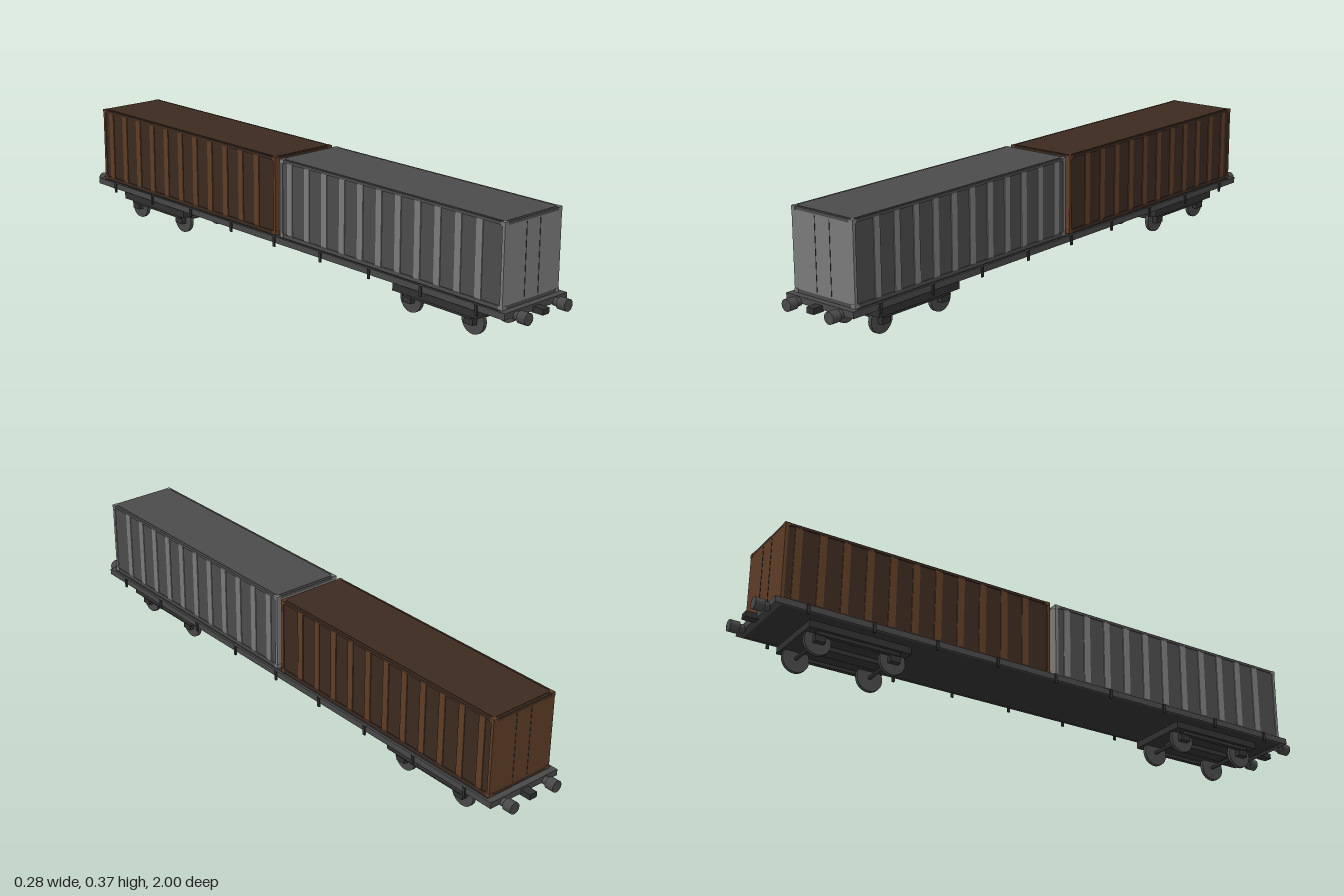
import * as THREE from 'three';

const mat = (name, color) => {
  const m = new THREE.MeshStandardMaterial({ color });
  m.name = name;
  return m;
};

export function createModel() {
  const model = new THREE.Group();
  model.name = 'containerWagon';
  const steel = mat('deck steel', 0x484848);
  const dark = mat('running gear', 0x303030);
  const greyLight = mat('light grey paint', 0x7a7a7a);
  const greyDark = mat('dark grey paint', 0x4b4b4b);
  const brownLight = mat('light brown paint', 0x5e3d26);
  const brownDark = mat('dark brown paint', 0x3b2a20);

  const box = (parent, name, material, size, pos) => {
    const mesh = new THREE.Mesh(new THREE.BoxGeometry(...size), material);
    mesh.name = name;
    mesh.position.set(...pos);
    parent.add(mesh);
    return mesh;
  };
  // Cylinder lying along 'x' or 'z'
  const rod = (parent, name, material, radius, length, axis, pos) => {
    const geo = new THREE.CylinderGeometry(radius, radius, length, 24);
    if (axis === 'x') geo.rotateZ(Math.PI / 2);
    else geo.rotateX(Math.PI / 2);
    const mesh = new THREE.Mesh(geo, material);
    mesh.name = name;
    mesh.position.set(...pos);
    parent.add(mesh);
    return mesh;
  };

  // Flat deck with edge sills, headstocks and stake brackets
  const deck = new THREE.Group();
  deck.name = 'deck';
  model.add(deck);
  box(deck, 'deckFloor', dark, [0.256, 0.016, 1.88], [0, 0.109, 0]);
  for (const s of [-1, 1]) {
    box(deck, 'sideSill', steel, [0.008, 0.02, 1.91], [s * 0.13, 0.11, 0]);
    box(deck, 'headstock', steel, [0.268, 0.02, 0.022], [0, 0.11, s * 0.944]);
    for (let i = -4; i <= 4; i++) {
      box(deck, 'stakeBracket', dark, [0.005, 0.032, 0.009], [s * 0.136, 0.104, i * 0.213]);
    }
    // Coupler and buffers
    box(deck, 'coupler', dark, [0.028, 0.018, 0.04], [0, 0.104, s * 0.97]);
    for (const x of [-0.085, 0.085]) {
      rod(deck, 'bufferStem', steel, 0.013, 0.035, 'z', [x, 0.104, s * 0.968]);
      rod(deck, 'bufferHead', steel, 0.0185, 0.03, 'z', [x, 0.104, s * 0.985]);
    }
  }

  // Two-axle bogie
  const addBogie = (z) => {
    const bogie = new THREE.Group();
    bogie.name = 'bogie';
    bogie.position.z = z;
    model.add(bogie);
    box(bogie, 'bogiePlate', dark, [0.22, 0.023, 0.334], [0, 0.0765, 0]);
    box(bogie, 'pivot', dark, [0.05, 0.016, 0.05], [0, 0.095, 0]);
    box(bogie, 'centreBeam', dark, [0.046, 0.015, 0.23], [0, 0.058, 0]);
    for (const s of [-1, 1]) {
      box(bogie, 'sideFrame', dark, [0.014, 0.012, 0.27], [s * 0.093, 0.06, 0]);
      const az = s * 0.1225;
      rod(bogie, 'axle', dark, 0.006, 0.18, 'x', [0, 0.044, az]);
      for (const t of [-1, 1]) {
        rod(bogie, 'wheel', steel, 0.043, 0.012, 'x', [t * 0.071, 0.043, az]);
        box(bogie, 'axleBox', dark, [0.018, 0.024, 0.034], [t * 0.087, 0.046, az]);
      }
    }
  };
  addBogie(0.667);
  addBogie(-0.667);

  // Ribbed container with framed ends
  const addContainer = (name, z, light, shade) => {
    const c = new THREE.Group();
    c.name = name;
    c.position.z = z;
    model.add(c);
    const L = 0.925, y0 = 0.119, y1 = 0.373, W = 0.242;
    const mid = (y0 + y1) / 2, H = y1 - y0;
    box(c, 'body', shade, [0.235, H - 0.003, L - 0.008], [0, mid, 0]);
    for (const s of [-1, 1]) {
      box(c, 'topSideRail', shade, [0.006, 0.009, L - 0.03], [s * 0.1175, y1 - 0.005, 0]);
      box(c, 'bottomSideRail', shade, [0.006, 0.012, L - 0.03], [s * 0.1175, y0 + 0.006, 0]);
      for (let i = 0; i < 11; i++) {
        box(c, 'sideRib', light, [0.004, H - 0.021, 0.024], [s * 0.118, mid + 0.001, -0.417 + i * 0.0786]);
      }
      // End wall, door seams and cross rails
      const e = s * L / 2;
      box(c, 'endDoors', light, [W - 0.004, H - 0.022, 0.006], [0, mid + 0.001, e - s * 0.004]);
      box(c, 'topEndRail', shade, [0.212, 0.01, 0.008], [0, y1 - 0.0055, e - s * 0.005]);
      box(c, 'bottomEndRail', shade, [0.212, 0.012, 0.008], [0, y0 + 0.006, e - s * 0.005]);
      for (const t of [-1, 1]) {
        box(c, 'lockRod', dark, [0.002, 0.222, 0.002], [t * 0.029, 0.248, e - s * 0.001]);
        box(c, 'cornerPost', light, [0.008, H - 0.026, 0.01], [t * 0.1165, mid, e - s * 0.006]);
        for (const y of [y0 + 0.0065, y1 - 0.0065]) {
          box(c, 'cornerCasting', light, [0.015, 0.013, 0.016], [t * 0.1135, y, e - s * 0.008]);
        }
      }
    }
    // Roof sheet
    box(c, 'roof', shade, [0.222, 0.003, L - 0.02], [0, y1 - 0.0012, 0]);
  };
  addContainer('greyContainer', 0.4725, greyLight, greyDark);
  addContainer('brownContainer', -0.4725, brownLight, brownDark);

  return model;
}
